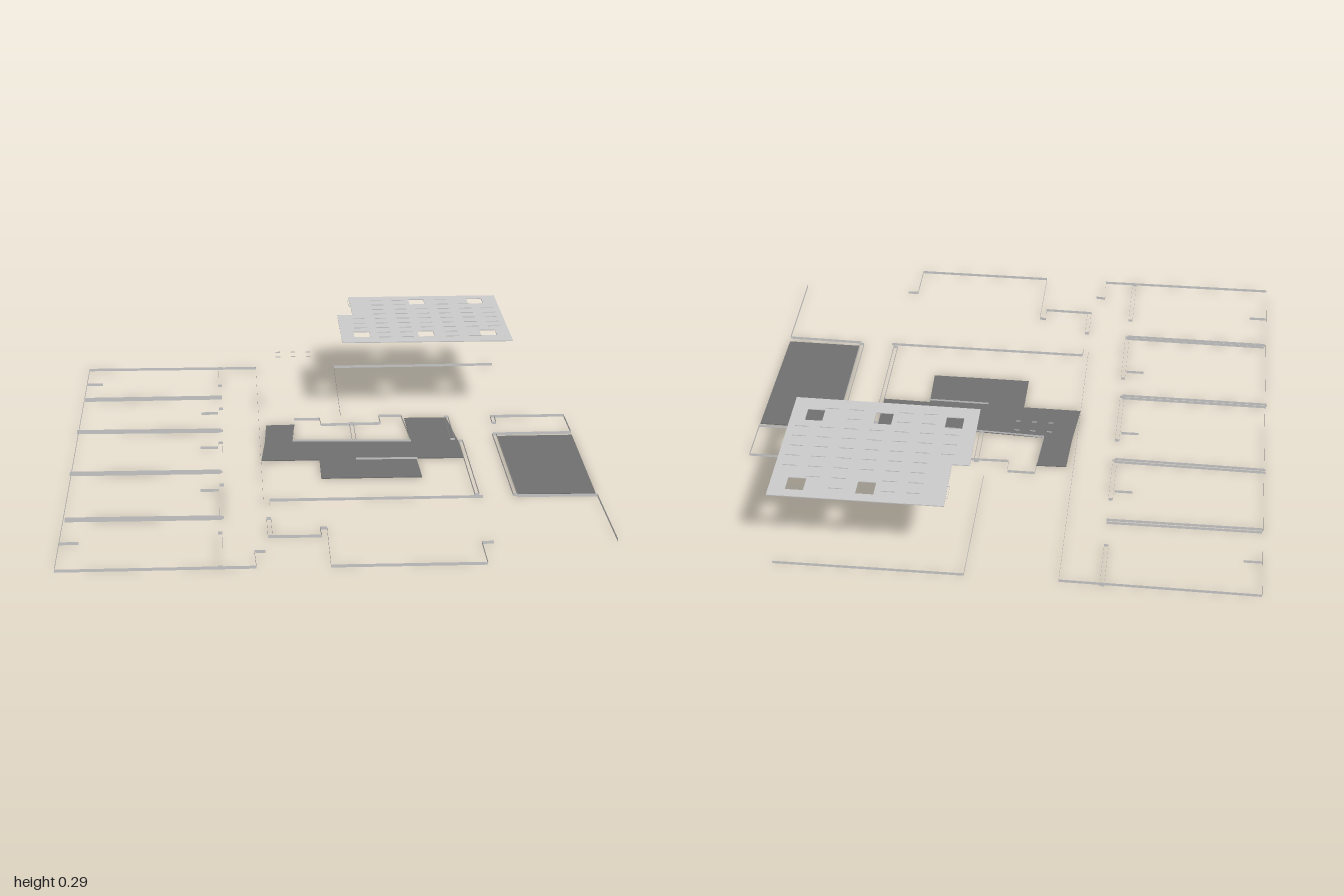
import * as THREE from 'three';

const WALL_H = 0.01;
const TILT = Math.atan2(0.195, 0.57);              // plan is turned on the site
const U = [Math.cos(TILT), Math.sin(TILT)];        // along the rooms' short axis
const V = [-U[1], U[0]];                           // along the wing

const wallMat = new THREE.MeshStandardMaterial({ color: 0xcccccc, side: THREE.DoubleSide });
const floorMat = new THREE.MeshStandardMaterial({ color: 0x707070, side: THREE.DoubleSide });

// Thin upright ribbon following plan points [x, z]
function ribbon(points, y0 = 0, h = WALL_H) {
  const pos = [], index = [];
  points.forEach(([x, z], i) => {
    pos.push(x, y0, z, x, y0 + h, z);
    if (i) {
      const a = 2 * i - 2;
      index.push(a, a + 2, a + 1, a + 1, a + 2, a + 3);
    }
  });
  const g = new THREE.BufferGeometry();
  g.setAttribute('position', new THREE.Float32BufferAttribute(pos, 3));
  g.setIndex(index);
  const flat = g.toNonIndexed();
  flat.computeVertexNormals();
  return flat;
}

// Two-faced wall, open on top, between two plan points
function cavity([ax, az], [bx, bz], t = 0.014) {
  const l = Math.hypot(bx - ax, bz - az);
  const nx = (-(bz - az) / l) * t / 2, nz = ((bx - ax) / l) * t / 2;
  return ribbon([[ax + nx, az + nz], [bx + nx, bz + nz], [bx - nx, bz - nz], [ax - nx, az - nz], [ax + nx, az + nz]]);
}

// Flat slab from a plan outline, with optional holes
function slab(outline, y, thickness, holes = []) {
  const toV2 = (pts) => pts.map(([x, z]) => new THREE.Vector2(x, -z));
  const shape = new THREE.Shape(toV2(outline));
  holes.forEach((h) => shape.holes.push(new THREE.Path(toV2(h))));
  const g = new THREE.ExtrudeGeometry(shape, { depth: thickness, bevelEnabled: false });
  return g.rotateX(-Math.PI / 2).translate(0, y, 0);
}

// Point offset from p along the building axes
const off = ([x, z], u, v) => [x + U[0] * u + V[0] * v, z + U[1] * u + V[1] * v];

export function createModel() {
  const model = new THREE.Group();
  const group = (name) => {
    const g = new THREE.Group();
    g.name = name;
    model.add(g);
    return g;
  };
  const add = (parent, name, geometry, mat = wallMat) => {
    const m = new THREE.Mesh(geometry, mat);
    m.name = name;
    parent.add(m);
  };

  // Long wing: outer walls
  const wing = group('longWing');
  add(wing, 'outerWall', ribbon([
    [-0.26, 0.35], [0.13, -0.78], [-0.46, -0.99], [-1, 0.55], [-0.43, 0.745], [-0.4, 0.645], [-0.37, 0.66],
  ]));

  // Long wing: room partitions, each with a return wall and a door stub
  add(wing, 'partition', cavity([-0.555, -0.71], [-0.085, -0.55]));
  [
    [[-0.66, -0.435], [-0.19, -0.265], [-0.125, -0.45]],
    [[-0.775, -0.105], [-0.305, 0.06], [-0.225, -0.165]],
    [[-0.88, 0.225], [-0.415, 0.39], [-0.335, 0.16]],
  ].forEach(([start, corner, end]) => {
    add(wing, 'partition', cavity(start, corner));
    add(wing, 'returnWall', cavity(corner, end));
    const s = off(end, -0.01, 0.04);
    add(wing, 'doorStub', ribbon([off(s, -0.06, 0), s]));
  });
  add(wing, 'endWall', cavity([-0.055, -0.66], [0.005, -0.83]));
  add(wing, 'endWall', cavity([-0.53, 0.705], [-0.455, 0.49]));
  [[-0.51, -0.85], [-0.94, 0.38]].forEach((p) => add(wing, 'doorStub', ribbon([p, off(p, 0.06, 0)])));

  // Central hall
  const hall = group('centralHall');
  add(hall, 'hallFloor', slab([
    [-0.025, -0.255], [0.07, -0.225], [0.01, -0.09], [0.39, 0.06], [0.455, -0.14], [0.595, -0.09], [0.545, 0.11],
    [0.5, 0.245], [0.35, 0.19], [0.305, 0.335], [-0.01, 0.225], [0.04, 0.085], [-0.145, 0.02], [-0.08, -0.12],
  ], 0, 0.003), floorMat);
  add(hall, 'coreWall', ribbon([
    [0.01, -0.09], [0.085, -0.265], [0.17, -0.235], [0.155, -0.185], [0.355, -0.12], [0.375, -0.185],
    [0.45, -0.155], [0.39, 0.06], [0.01, -0.09],
  ]));
  add(hall, 'coreDivider', cavity([0.21, -0.015], [0.26, -0.16]));
  add(hall, 'counter', ribbon([[0.155, 0.13], [0.35, 0.2]]));
  add(hall, 'sideWall', cavity([0.595, -0.09], [0.53, 0.1]));
  add(hall, 'southWall', ribbon([[-0.245, 0.36], [-0.23, 0.325], [0.42, 0.55]]));
  add(hall, 'eastWall', cavity([0.41, 0.53], [0.55, 0.12]));

  // South-west room
  const southRoom = group('southRoom');
  add(southRoom, 'outerWall', ribbon([
    [-0.32, 0.57], [-0.17, 0.625], [-0.155, 0.57], [-0.135, 0.58], [-0.22, 0.82], [0.225, 0.975], [0.27, 0.845], [0.305, 0.855],
  ]));
  add(southRoom, 'entryWall', cavity([-0.32, 0.57], [-0.28, 0.45]));

  // East room with its own floor
  const east = group('eastRoom');
  add(east, 'eastFloor', slab([[0.69, 0.125], [0.935, 0.21], [0.775, 0.655], [0.535, 0.57]], 0, 0.003), floorMat);
  add(east, 'southWall', ribbon([[0.665, 0.985], [0.77, 0.675], [0.525, 0.585]]));
  add(east, 'westWall', cavity([0.525, 0.575], [0.685, 0.11]));
  add(east, 'northWall', ribbon([[0.69, 0.11], [0.94, 0.195], [0.99, 0.05], [0.75, -0.035]]));
  add(east, 'entryWall', cavity([0.75, -0.035], [0.73, 0.02]));

  // Walls below the canopy
  const north = group('northRoom');
  add(north, 'outerWall', ribbon([[0.98, -0.49], [0.41, -0.685], [0.25, -0.235]]));

  // Raised canopy with square roof lights and cross ribs
  const canopy = group('canopy');
  const r = 0.028;
  const holes = [[0.46, -0.6], [0.675, -0.53], [0.88, -0.46], [0.35, -0.285], [0.565, -0.21], [0.775, -0.14]]
    .map((c) => [off(c, -r, -r), off(c, r, -r), off(c, r, r), off(c, -r, r)]);
  add(canopy, 'canopyPanel', slab([
    [0.46, -0.668], [0.975, -0.49], [0.82, -0.035], [0.255, -0.235], [0.345, -0.5], [0.398, -0.483],
  ], 0.28, 0.003, holes));
  const corner = [0.41, -0.685];
  for (let i = 1; i <= 9; i++) {
    const v = i * 0.048;
    for (let k = 0; k < 7; k++) {
      const u = 0.05 + k * 0.08;
      // keep the ribs clear of the roof lights
      const mid = off(corner, u + 0.02, v);
      const blocked = holes.some((h) => Math.hypot(
        (h[0][0] + h[2][0]) / 2 - mid[0], (h[0][1] + h[2][1]) / 2 - mid[1]) < 0.055);
      const notch = v < 0.2 && u < 0.06;
      if (!blocked && !notch) add(canopy, 'rib', ribbon([off(corner, u, v), off(corner, u + 0.045, v)], 0.283, 0.003));
    }
  }

  // Small hanging strips beside the hall
  const strips = group('hangingStrips');
  for (let i = 0; i < 3; i++) {
    for (let j = 0; j < 2; j++) {
      const p = off([0.045, -0.345], i * 0.053, j * 0.045);
      add(strips, 'strip', ribbon([p, off(p, 0.016, 0)], 0.234, 0.004));
    }
  }

  return model;
}
